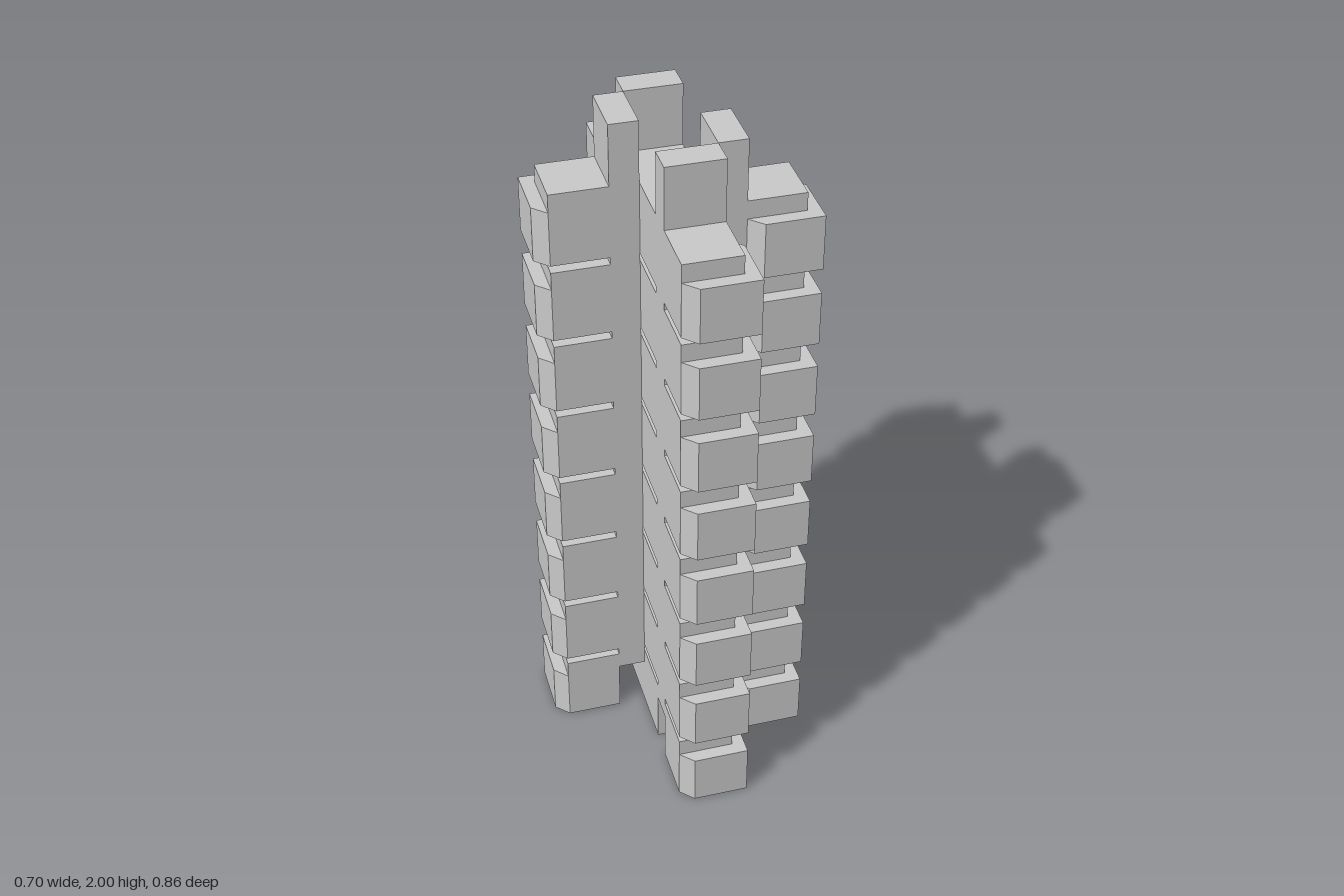
import * as THREE from 'three';

const U = 0.0787;        // half the width of a column
const S = 2 * U;         // side of a square cell
const C = 0.037;         // diagonal offset of the outer blocks
const BLOCK = 0.158;     // block height
const PLATE = 0.052;     // plate height
const PITCH = 0.2308;    // storey spacing
const LEVELS = 8;

const material = new THREE.MeshStandardMaterial({ color: 0xcccccc, flatShading: true });

function box(name, x0, x1, y0, y1, z0, z1) {
  const mesh = new THREE.Mesh(new THREE.BoxGeometry(x1 - x0, y1 - y0, z1 - z0), material);
  mesh.position.set((x0 + x1) / 2, (y0 + y1) / 2, (z0 + z1) / 2);
  mesh.name = name;
  return mesh;
}

// Six-sided block: a square swept diagonally, drawn in plan (x, z) and raised to BLOCK
function makeBlockGeometry() {
  const plan = [[0, 0], [S, 0], [S + C, C], [S + C, S + C], [C, S + C], [0, S]];
  const shape = new THREE.Shape(plan.map(([x, z]) => new THREE.Vector2(x, z)));
  const geometry = new THREE.ExtrudeGeometry(shape, { depth: BLOCK, bevelEnabled: false });
  return geometry.rotateX(Math.PI / 2).translate(0, BLOCK, 0);
}

// Front and left arms; the other two are the same turned half round
function makeHalf(blockGeometry) {
  const half = new THREE.Group();
  half.add(box('longArmColumn', -U, U, BLOCK, 2, S, 3 * U));
  half.add(box('shortArmColumn', U, S, BLOCK, 2, 0, S));

  const arms = [['longArm', -U, 3 * U], ['shortArm', S, 0]];
  for (const [name, x, z] of arms) {
    for (let i = 0; i < LEVELS; i++) {
      const y = i * PITCH;
      const block = new THREE.Mesh(blockGeometry, material);
      block.name = name + 'Block';
      block.position.set(x, y, z);
      half.add(block);
      // Floor plate on top of the block
      half.add(box(name + 'Plate', x, x + S, y + BLOCK, y + BLOCK + PLATE, z, z + S));
    }
  }
  return half;
}

export function createModel() {
  const model = new THREE.Group();
  model.name = 'tower';

  // Central core, one storey at a time with thin slots between
  for (let i = 0; i < LEVELS; i++) {
    const y = i * PITCH;
    model.add(box('coreStorey', -U, U, y, y + BLOCK + PLATE, -S, S));
  }

  const blockGeometry = makeBlockGeometry();
  for (let i = 0; i < 2; i++) {
    const half = makeHalf(blockGeometry);
    half.name = i === 0 ? 'frontLeftArms' : 'backRightArms';
    half.rotation.y = i * Math.PI;
    model.add(half);
  }
  return model;
}
